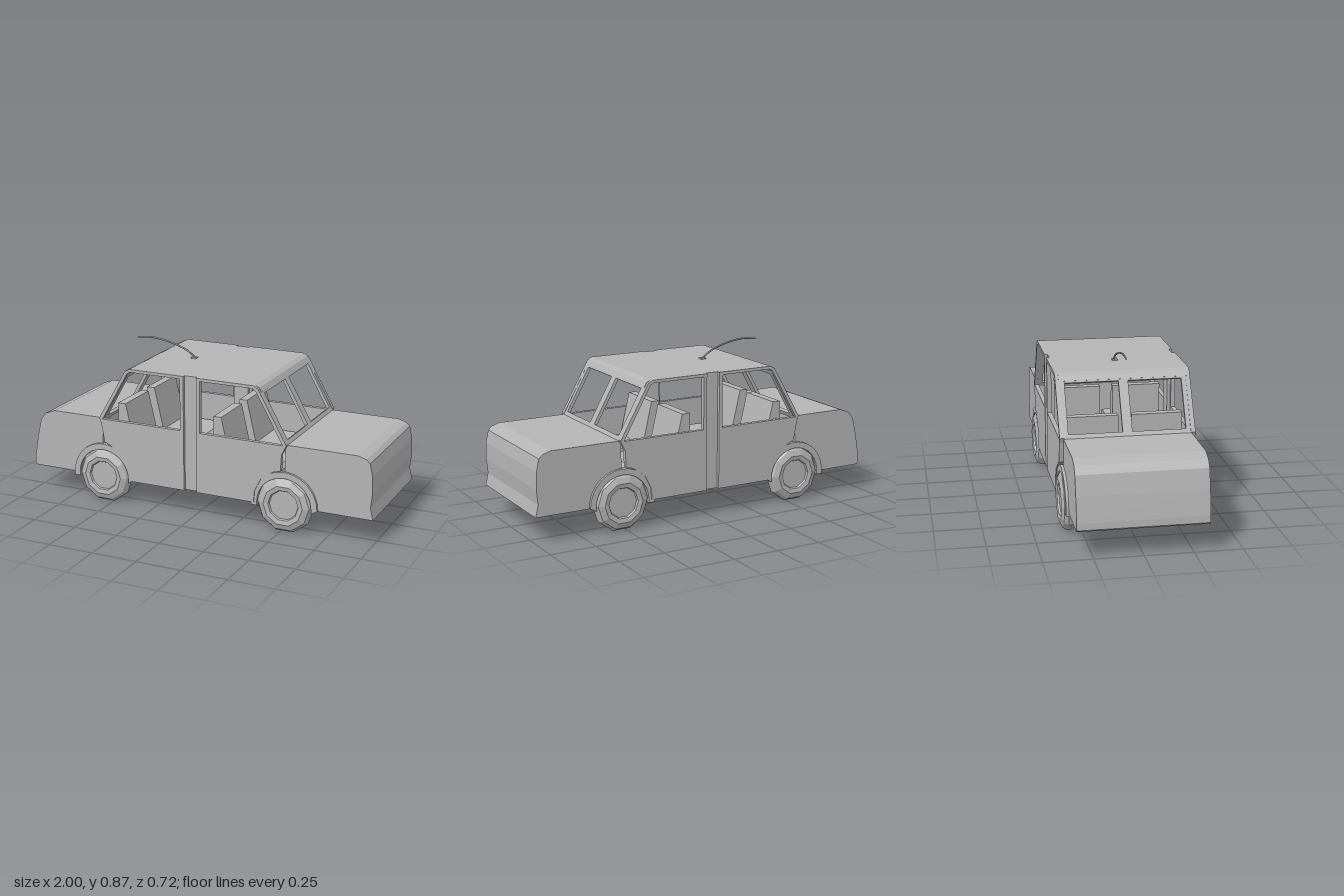
import * as THREE from 'three';

const paint = new THREE.MeshStandardMaterial({ color: 0xb4b4b4, flatShading: true });
paint.name = 'plain grey';

const toShape = (pts) => new THREE.Shape(pts.map(([x, y]) => new THREE.Vector2(x, y)));

// Extrude a side profile between two z positions
function slab(shape, z0, z1) {
  const g = new THREE.ExtrudeGeometry(shape, { depth: z1 - z0, bevelEnabled: false, curveSegments: 10 });
  return g.translate(0, 0, z0);
}

function boxBetween(x0, x1, y0, y1, z0, z1) {
  return new THREE.BoxGeometry(x1 - x0, y1 - y0, z1 - z0)
    .translate((x0 + x1) / 2, (y0 + y1) / 2, (z0 + z1) / 2);
}

export function createModel() {
  const car = new THREE.Group();
  car.name = 'car';
  const add = (name, geometry) => {
    const mesh = new THREE.Mesh(geometry, paint);
    mesh.name = name;
    car.add(mesh);
    return mesh;
  };

  // Solid end blocks and the cabin floor
  add('hood', slab(toShape([
    [0.518, 0.145], [1, 0.145], [0.985, 0.21], [0.993, 0.29], [0.99, 0.38],
    [0.975, 0.447], [0.955, 0.466], [0.91, 0.48], [0.518, 0.48],
  ]), -0.332, 0.332));
  add('trunk', slab(toShape([
    [-0.99, 0.145], [-0.557, 0.145], [-0.557, 0.48], [-0.86, 0.48],
    [-0.92, 0.458], [-0.95, 0.42], [-0.975, 0.32], [-0.998, 0.19], [-1, 0.155],
  ]), -0.332, 0.332));
  add('floor', boxBetween(-0.56, 0.52, 0.145, 0.165, -0.332, 0.332));

  // Roof with softly bent front and rear edges
  add('roof', slab(toShape([
    [-0.42, 0.745], [-0.405, 0.74], [-0.375, 0.764], [0.34, 0.764], [0.37, 0.74],
    [0.385, 0.745], [0.37, 0.768], [0.345, 0.78], [-0.375, 0.78], [-0.402, 0.768],
  ]), -0.335, 0.335));

  // Doors with window openings
  const rearDoor = toShape([
    [-0.055, 0.145], [-0.055, 0.78], [-0.375, 0.78], [-0.402, 0.765], [-0.565, 0.485],
    [-0.555, 0.46], [-0.535, 0.35], [-0.5, 0.335], [-0.42, 0.28], [-0.38, 0.21], [-0.37, 0.145],
  ]);
  rearDoor.holes.push(toShape([
    [-0.075, 0.48], [-0.545, 0.48], [-0.39, 0.752], [-0.37, 0.764], [-0.075, 0.764],
  ]));
  const frontDoor = toShape([
    [0.02, 0.145], [0.35, 0.145], [0.355, 0.21], [0.39, 0.28], [0.46, 0.33], [0.5, 0.34],
    [0.505, 0.43], [0.525, 0.47], [0.53, 0.485], [0.37, 0.765], [0.345, 0.78], [0.02, 0.78],
  ]);
  frontDoor.holes.push(toShape([
    [0.04, 0.48], [0.51, 0.48], [0.357, 0.752], [0.338, 0.764], [0.04, 0.764],
  ]));

  // Rounded fender arch
  const arch = new THREE.Shape();
  arch.moveTo(0.185, -0.02);
  arch.absarc(0, 0, 0.185, 0, Math.PI, false);
  arch.lineTo(-0.185, -0.02);
  arch.lineTo(-0.152, -0.02);
  arch.absarc(0, 0, 0.152, Math.PI, 0, true);
  arch.lineTo(0.152, -0.02);

  // Ten-sided wheel: recessed hub, rim ring and tyre, same on both faces
  const half = [[0, 0.03], [0.08, 0.03], [0.085, 0.04], [0.11, 0.045], [0.142, 0.032], [0.157, 0.01]];
  const profile = [
    ...half.map(([r, z]) => new THREE.Vector2(r, -z)),
    ...half.slice().reverse().map(([r, z]) => new THREE.Vector2(r, z)),
  ];
  const wheel = new THREE.LatheGeometry(profile, 10, Math.PI / 10).rotateX(Math.PI / 2);

  for (const [label, s] of [['left', 1], ['right', -1]]) {
    const span = (a, b) => (s > 0 ? [a, b] : [-b, -a]);
    add(label + ' panel rear door', slab(rearDoor, ...span(0.328, 0.352)));
    add(label + ' panel front door', slab(frontDoor, ...span(0.328, 0.352)));
    add(label + ' panel centre pillar', boxBetween(-0.06, 0.025, 0.145, 0.779, ...span(0.31, 0.335)));
    for (const [end, x] of [['rear', -0.549], ['front', 0.518]]) {
      add(label + ' panel ' + end + ' fender arch', slab(arch, ...span(0.322, 0.346))).position.set(x, 0.149, 0);
      add(label + ' panel ' + end + ' wheel', wheel).position.set(x, 0.153, s * 0.315);
    }
  }

  // Sloping split window frames at both ends of the cabin
  const pane = toShape([[-0.335, -0.005], [0.335, -0.005], [0.335, 0.32], [-0.335, 0.32]]);
  for (const s of [1, -1]) {
    const [a, b] = s > 0 ? [0.025, 0.305] : [-0.305, -0.025];
    pane.holes.push(toShape([[a, 0.023], [b, 0.023], [b, 0.292], [a, 0.292]]));
  }
  const tilt = Math.atan2(0.16, 0.285);
  add('windshield frame', slab(pane, -0.018, 0).rotateX(-tilt).rotateY(Math.PI / 2)).position.set(0.53, 0.48, 0);
  add('rear window frame', slab(pane, -0.018, 0).rotateX(-tilt).rotateY(-Math.PI / 2)).position.set(-0.562, 0.48, 0);

  // Four seats with tapered backs
  const seat = toShape([
    [0, 0.165], [0.38, 0.165], [0.38, 0.31], [0.36, 0.33], [0.105, 0.33], [0.05, 0.567], [0.005, 0.567],
  ]);
  for (const [row, x] of [['rear', -0.48], ['front', 0.09]]) {
    add(row + ' left seat', slab(seat, 0.035, 0.3)).position.x = x;
    add(row + ' right seat', slab(seat, -0.3, -0.035)).position.x = x;
  }

  // Swept-back antenna
  add('antenna base', boxBetween(-0.175, -0.145, 0.778, 0.787, -0.014, 0.014));
  const sweep = new THREE.CatmullRomCurve3([
    [-0.157, 0.782, -0.004], [-0.2, 0.815, -0.003], [-0.3, 0.852, 0], [-0.42, 0.87, 0.002], [-0.505, 0.862, 0.003],
  ].map((p) => new THREE.Vector3(...p)));
  add('antenna', new THREE.TubeGeometry(sweep, 16, 0.005, 6));

  return car;
}
